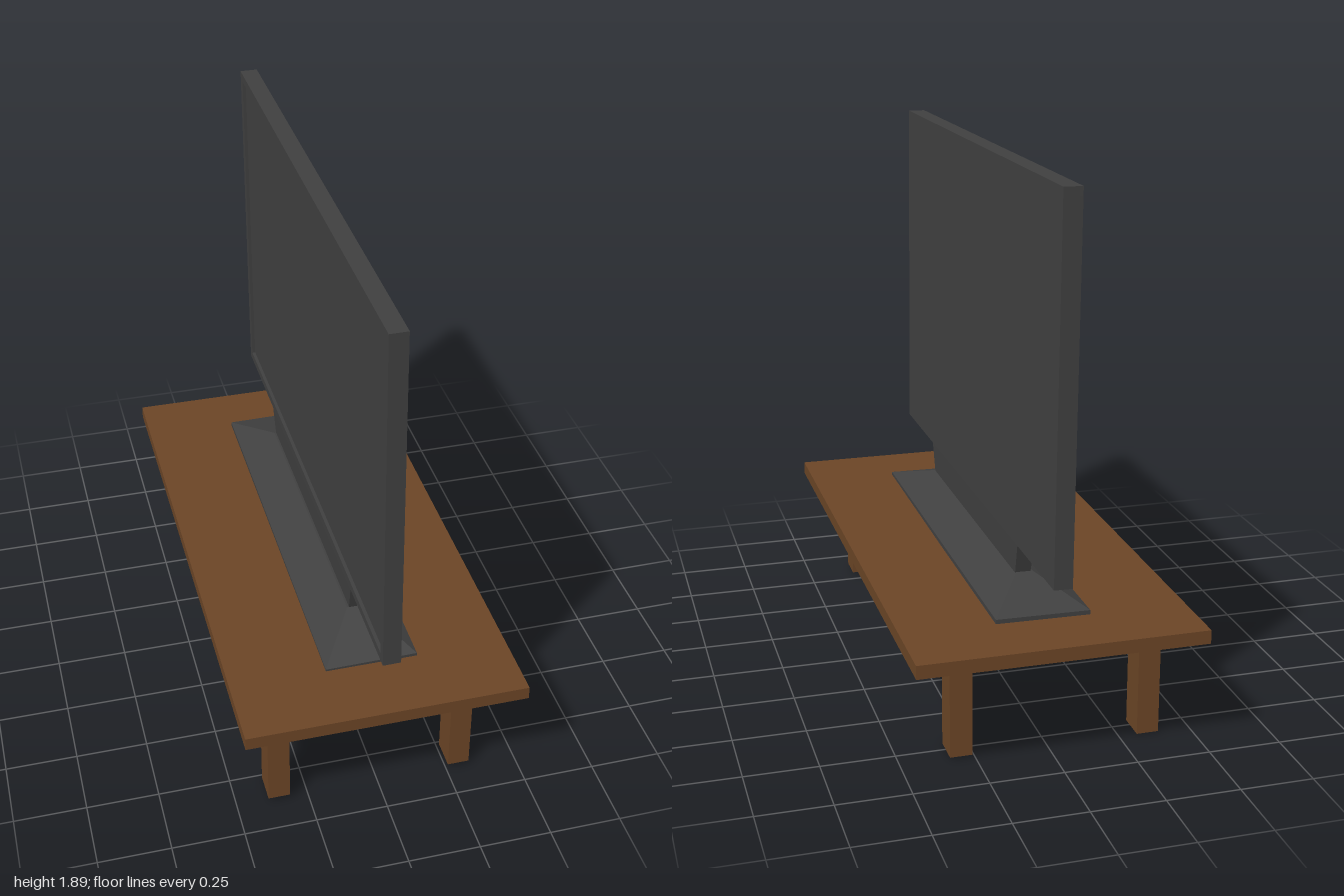
import * as THREE from 'three';

const dark = new THREE.MeshStandardMaterial({ color: 0x404040, flatShading: true });
const wood = new THREE.MeshStandardMaterial({ color: 0x6b4526, flatShading: true });

// Box spanning y0..y1, with separate half sizes for its bottom and top faces
function taperedBox(name, material, y0, y1, [bx, bz], [tx, tz] = [bx, bz]) {
  const geometry = new THREE.BoxGeometry(2, 2, 2);
  const p = geometry.attributes.position;
  for (let i = 0; i < p.count; i++) {
    const top = p.getY(i) > 0;
    p.setXYZ(i, p.getX(i) * (top ? tx : bx), top ? y1 : y0, p.getZ(i) * (top ? tz : bz));
  }
  geometry.computeVertexNormals();
  const mesh = new THREE.Mesh(geometry, material);
  mesh.name = name;
  return mesh;
}

function createTable() {
  const table = new THREE.Group();
  table.name = 'table';
  const top = taperedBox('tableTop', wood, 0.39, 0.437, [0.487, 1]);
  top.position.x = -0.002;
  table.add(top);

  // Legs: the +z pair is slightly shorter
  for (const x of [-0.352, 0.295]) {
    for (const [z, foot] of [[0.828, 0.016], [-0.768, x < 0 ? 0 : 0.006]]) {
      const leg = taperedBox('leg', wood, foot, 0.395, [0.038, 0.051]);
      leg.position.set(x, 0, z);
      table.add(leg);
    }
  }
  return table;
}

function createTelevision() {
  const tv = new THREE.Group();
  tv.name = 'television';

  // Stand: thin rim, sloping foot, flared neck
  const rim = taperedBox('standRim', dark, -0.003, 0.012, [0.161, 0.765]);
  const foot = taperedBox('standFoot', dark, 0.012, 0.08, [0.161, 0.765], [0.028, 0.55]);
  rim.position.x = foot.position.x = -0.006;
  const neck = taperedBox('neck', dark, 0.078, 0.19, [0.027, 0.55], [0.03, 0.581]);
  tv.add(rim, foot, neck);

  // Panel: screen slab with a raised bezel on the -x side
  const bottom = 0.187, top = 1.444, halfZ = 0.977, halfX = 0.031;
  const recess = 0.012, border = 0.03;
  const slab = taperedBox('screenPanel', dark, bottom, top, [halfX - recess / 2, halfZ]);
  slab.position.x = recess / 2;
  tv.add(slab);

  const bezel = new THREE.Group();
  bezel.name = 'bezel';
  bezel.position.x = -halfX + recess / 2;
  bezel.add(
    taperedBox('bezelBottom', dark, bottom, bottom + border, [recess / 2, halfZ]),
    taperedBox('bezelTop', dark, top - border, top, [recess / 2, halfZ])
  );
  for (const side of [-1, 1]) {
    const strip = taperedBox('bezelSide', dark, bottom + border, top - border, [recess / 2, border / 2]);
    strip.position.z = side * (halfZ - border / 2);
    bezel.add(strip);
  }
  tv.add(bezel);

  // The set leans very slightly
  tv.position.set(0.012, 0.438, -0.012);
  tv.rotation.set(0.005, 0, 0.0115);
  return tv;
}

export function createModel() {
  const model = new THREE.Group();
  model.name = 'televisionOnTable';
  model.add(createTable(), createTelevision());
  return model;
}
